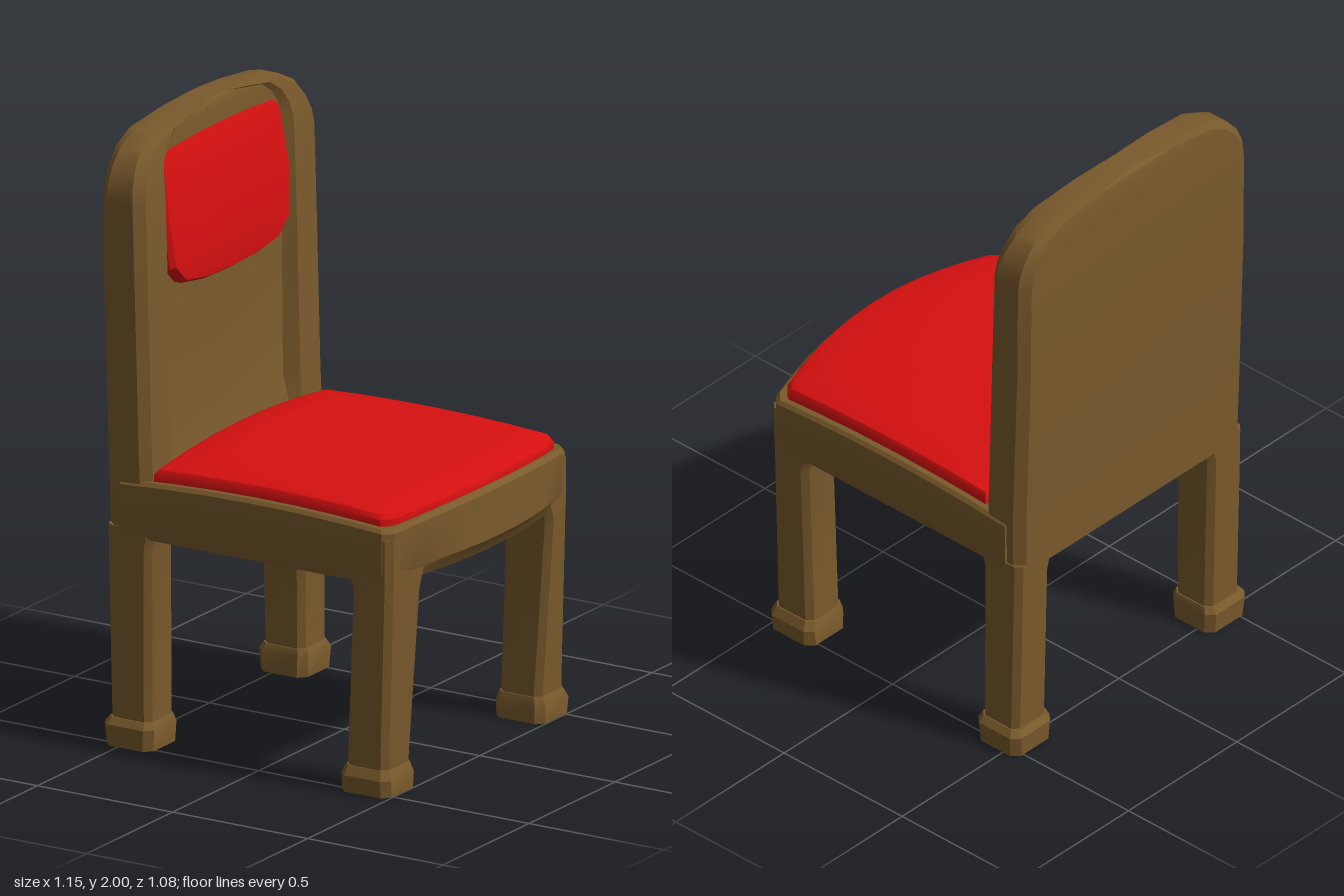
import * as THREE from 'three';
import { toCreasedNormals } from 'three/addons/utils/BufferGeometryUtils.js';

const wood = new THREE.MeshStandardMaterial({ color: 0x7a5a2c });
const fabric = new THREE.MeshStandardMaterial({ color: 0xd81010 });

// Skin a closed solid over rings of [x, y, z] points, capped at both ends
function loft(name, rings, material, crease = 0.5) {
  const n = rings[0].length;
  const pos = rings.flat(2), idx = [];
  const addCentre = (ring) => {
    for (let k = 0; k < 3; k++) pos.push(ring.reduce((s, p) => s + p[k], 0) / n);
    return pos.length / 3 - 1;
  };
  for (let i = 0; i < rings.length - 1; i++) {
    for (let j = 0; j < n; j++) {
      const a = i * n + j, b = i * n + (j + 1) % n;
      idx.push(a, b, b + n, a, b + n, a + n);
    }
  }
  const top = (rings.length - 1) * n;
  const c0 = addCentre(rings[0]), c1 = addCentre(rings[rings.length - 1]);
  for (let j = 0; j < n; j++) {
    const k = (j + 1) % n;
    idx.push(c0, k, j, c1, top + j, top + k);
  }
  const geo = new THREE.BufferGeometry();
  geo.setAttribute('position', new THREE.Float32BufferAttribute(pos, 3));
  geo.setIndex(idx);
  const mesh = new THREE.Mesh(toCreasedNormals(geo, crease), material);
  mesh.name = name;
  return mesh;
}

// Rectangle with chamfered corners; skew pushes the inner front corner forward
function post(y, x0, x1, z0, z1, c, skew = 0) {
  const plan = [
    [x1, z1 - c], [x1 + skew, z0 + c], [x1 + skew - c, z0], [x0 + c, z0],
    [x0, z0 + c], [x0, z1 - c], [x0 + c, z1], [x1 - c, z1],
  ];
  return plan.map(([x, z]) => [x, y, z]);
}

// Mirror a ring across the centre plane, keeping its winding
const mirrorRing = (ring) => ring.map(([x, y, z]) => [x, y, -z]).reverse();

// Seat plan: bowed front edge, straight sides and back
function seatPlan(back, corner, bow, halfWidth) {
  const pts = [];
  const r = 0.03;
  for (let i = 0; i <= 10; i++) {
    const t = 1 - i / 5;
    pts.push([corner + bow * (1 - t * t), t * (halfWidth - r)]);
  }
  const side = [];
  for (let i = 0; i <= 6; i++) side.push(corner - r + (back - corner + r) * i / 6);
  side.forEach((x) => pts.push([x, -halfWidth]));
  for (let i = 1; i < 6; i++) pts.push([back, -halfWidth + halfWidth * i / 3]);
  side.reverse().forEach((x) => pts.push([x, halfWidth]));
  return pts;
}

// Gentle rise of the seat towards its middle
const crown = (x, z) => 0.02 * (1 - Math.min(1, (x / 0.5) ** 2)) + 0.035 * (1 - Math.min(1, (z / 0.5) ** 2));

function makeSeat() {
  const layer = (y, front, side, rise) => seatPlan(-0.5, 0.5 - front * 0.4, 0.075 - front * 0.6, 0.525 - side)
    .map(([x, z]) => [x, y + rise * crown(x, z), z]);
  return loft('seatFrame', [
    layer(0.69, 0.035, 0.012, 0),
    layer(0.705, 0.02, 0.004, 0.3),
    layer(0.735, 0, 0, 0.1),
    layer(0.86, 0, 0, 1),
    layer(0.872, 0.02, 0.01, 1),
  ], wood);
}

function makeSeatCushion() {
  const plan = seatPlan(-0.39, 0.478, 0.072, 0.495);
  const layers = [[1, 0], [1, 0.022], [0.98, 0.036], [0.93, 0.042], [0.75, 0.042], [0.5, 0.041], [0.25, 0.04]];
  return loft('seatCushion', layers.map(([s, lift]) => plan.map(([px, pz]) => {
    const x = 0.08 + (px - 0.08) * s, z = pz * s;
    return [x, 0.87 + lift + crown(x, z), z];
  })), fabric, 0.6);
}

// Backrest: horizontal sections with raised side ridges around a sunk panel
function makeBackrest() {
  // y, half width, back x, ridge x, panel x
  const levels = [
    [0.69, 0.515, -0.555, -0.392, -0.392],
    [0.88, 0.52, -0.558, -0.397, -0.42],
    [1.0, 0.52, -0.562, -0.402, -0.448],
    [1.45, 0.52, -0.577, -0.414, -0.452],
    [1.78, 0.52, -0.58, -0.424, -0.456],
    [1.83, 0.512, -0.58, -0.428, -0.457],
    [1.88, 0.488, -0.58, -0.436, -0.459],
    [1.93, 0.445, -0.579, -0.444, -0.461],
    [1.968, 0.37, -0.577, -0.453, -0.463],
    [1.988, 0.2, -0.573, -0.462, -0.467],
    [2.0, 0.06, -0.562, -0.475, -0.476],
  ];
  return loft('backrest', levels.map(([y, w, back, ridge, panel]) => {
    const c = Math.min(0.03, w * 0.3);
    const inner = Math.min(0.375, w * 0.75), flat = inner - Math.min(0.03, w * 0.2);
    const half = [[panel, flat], [ridge, inner], [ridge, w - c], [ridge - c, w], [back + c, w], [back, w - c]];
    const right = half.map(([x, z]) => [x, y, -z]);
    const left = half.map(([x, z]) => [x, y, z]).reverse();
    return [...right, ...left];
  }), wood);
}

function makeBackCushion() {
  // Right half of the outline from bottom to top as [z, y]
  const half = [[0.15, 1.445], [0.28, 1.465], [0.343, 1.525], [0.362, 1.69], [0.35, 1.88], [0.315, 1.92], [0.15, 1.938]];
  const outline = [[0, 1.44], ...half.map(([z, y]) => [-z, y]), [0, 1.943], ...half.slice().reverse()];
  // The face leans back towards the top
  const lean = (y) => -0.055 * Math.max(0, (y - 1.5) / 0.44) ** 1.6;
  const layers = [[1, -0.46], [1, -0.428], [0.96, -0.413], [0.85, -0.409], [0.5, -0.407]];
  return loft('backCushion', layers.map(([s, x]) => outline.map(([z, py]) => {
    const y = 1.69 + (py - 1.69) * s;
    return [x + lean(y), y, z * s];
  })), fabric, 0.45);
}

export function createModel() {
  const chair = new THREE.Group();
  chair.name = 'chair';
  chair.add(makeSeat(), makeSeatCushion(), makeBackrest(), makeBackCushion());

  // Left-hand legs and feet, mirrored to the right
  const parts = {
    backLeg: [
      post(0.06, -0.54, -0.392, 0.37, 0.52, 0.02),
      post(0.65, -0.554, -0.394, 0.37, 0.52, 0.02),
      post(0.72, -0.555, -0.38, 0.355, 0.52, 0.02),
    ],
    frontLeg: [
      post(0.06, 0.33, 0.482, 0.37, 0.52, 0.02),
      post(0.65, 0.352, 0.498, 0.37, 0.52, 0.02, 0.026),
      post(0.685, 0.345, 0.499, 0.364, 0.521, 0.02, 0.028),
      post(0.72, 0.32, 0.5, 0.35, 0.522, 0.02, 0.028),
      post(0.84, 0.32, 0.5, 0.35, 0.522, 0.02, 0.028),
    ],
    backFoot: [
      post(0, -0.555, -0.382, 0.36, 0.535, 0.025),
      post(0.07, -0.56, -0.378, 0.358, 0.54, 0.025),
      post(0.092, -0.545, -0.388, 0.366, 0.524, 0.02),
    ],
    frontFoot: [
      post(0, 0.316, 0.498, 0.36, 0.535, 0.025),
      post(0.055, 0.316, 0.5, 0.358, 0.54, 0.025),
      post(0.085, 0.328, 0.487, 0.366, 0.524, 0.02),
    ],
  };
  for (const [name, rings] of Object.entries(parts)) {
    chair.add(loft(name + 'Left', rings, wood));
    chair.add(loft(name + 'Right', rings.map(mirrorRing), wood));
  }
  return chair;
}
